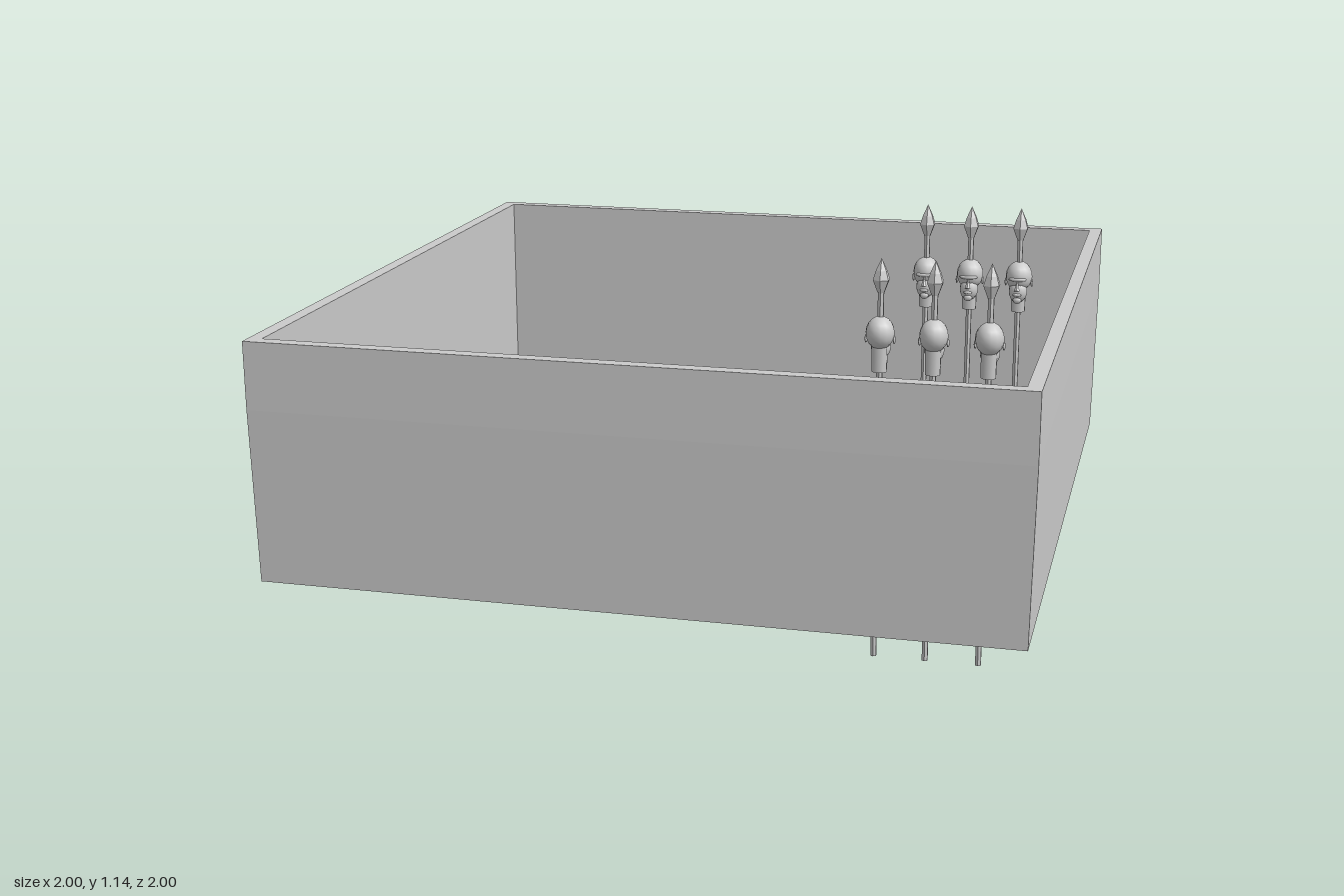
import * as THREE from 'three';

const grey = (opts = {}) => new THREE.MeshStandardMaterial({ color: 0xcccccc, ...opts });
const flat = grey({ flatShading: true });
const flatTwoSided = grey({ flatShading: true, side: THREE.DoubleSide });
const smooth = grey();

function part(parent, name, geometry, material, x = 0, y = 0, z = 0) {
  const mesh = new THREE.Mesh(geometry, material);
  mesh.name = name;
  mesh.position.set(x, y, z);
  parent.add(mesh);
  return mesh;
}

// Square walls: a four-sided lathe, half widths given as [half, y]
function wallsGeometry() {
  const profile = [[0.993, 0.335], [1, 0.8], [1, 0.98], [0.963, 0.98], [0.963, 0.335]];
  return new THREE.LatheGeometry(
    profile.map(([half, y]) => new THREE.Vector2(half * Math.SQRT2, y)), 4, Math.PI / 4);
}

// Thin floor with a twelve-sided opening
function floorGeometry(cx, cz, r) {
  const h = 0.993;
  const shape = new THREE.Shape([[-h, -h], [h, -h], [h, h], [-h, h]].map(p => new THREE.Vector2(...p)));
  const rim = [];
  for (let i = 0; i < 12; i++) {
    const a = -i * Math.PI / 6;
    rim.push(new THREE.Vector2(cx + r * Math.cos(a), -cz + r * Math.sin(a)));
  }
  shape.holes.push(new THREE.Path(rim));
  return new THREE.ShapeGeometry(shape).rotateX(-Math.PI / 2);
}

const ellipsoid = (rx, ry, rz, w = 14, h = 10) => new THREE.SphereGeometry(1, w, h).scale(rx, ry, rz);

// Head facing +z, origin at the middle of the skull
function makeHead() {
  const head = new THREE.Group();
  head.name = 'head';
  part(head, 'skull', ellipsoid(0.039, 0.045, 0.045), smooth, 0, 0.008, -0.002);
  part(head, 'jaw', ellipsoid(0.027, 0.034, 0.03), smooth, 0, -0.034, 0.015);
  part(head, 'chin', ellipsoid(0.013, 0.011, 0.012, 8, 6), smooth, 0, -0.057, 0.034);
  part(head, 'brow', ellipsoid(0.027, 0.007, 0.012, 10, 6), smooth, 0, 0.005, 0.034);
  part(head, 'mouth', ellipsoid(0.013, 0.005, 0.007, 8, 6), smooth, 0, -0.04, 0.042);
  part(head, 'neck', new THREE.CylinderGeometry(0.022, 0.021, 0.07, 10), smooth, 0, -0.063, -0.004);
  const nose = part(head, 'nose', new THREE.ConeGeometry(0.009, 0.032, 5), flat, 0, -0.012, 0.044);
  nose.rotation.x = -0.3;
  for (const side of [-1, 1]) {
    part(head, 'ear', ellipsoid(0.004, 0.012, 0.008, 8, 6), smooth, side * 0.038, -0.01, 0);
  }
  return head;
}

// Spear standing on y = 0 with a head pushed onto it
function makeSpear() {
  const spear = new THREE.Group();
  spear.name = 'spear';
  part(spear, 'pole', new THREE.CylinderGeometry(0.009, 0.009, 1.05, 6), flat, 0, 0.525, 0);
  const tip = [[0, 1.03], [0.01, 1.035], [0.024, 1.07], [0.016, 1.095], [0, 1.128]];
  part(spear, 'spearTip',
    new THREE.LatheGeometry(tip.map(p => new THREE.Vector2(...p)), 6), flat);
  const head = makeHead();
  head.position.y = 0.918;
  spear.add(head);
  return spear;
}

export function createModel() {
  const model = new THREE.Group();
  model.name = 'walledPit';
  const cx = 0.63, cz = -0.14, r = 0.158;

  part(model, 'walls', wallsGeometry(), flat);
  part(model, 'floor', floorGeometry(cx, cz, r), flatTwoSided, 0, 0.336, 0);

  // Open shaft hanging below the floor opening
  part(model, 'shaft',
    new THREE.CylinderGeometry(r, r, 0.08, 12, 1, true), flatTwoSided, cx, 0.296, cz);

  // Two rows of spears whose heads face each other
  const rows = [
    { xs: [0.525, 0.655, 0.8], y: 0.015, z: -0.41, turn: 0 },
    { xs: [0.508, 0.652, 0.8], y: 0, z: 0.31, turn: Math.PI },
  ];
  for (const row of rows) {
    for (const x of row.xs) {
      const spear = makeSpear();
      spear.position.set(x, row.y, row.z);
      spear.rotation.y = row.turn;
      model.add(spear);
    }
  }
  return model;
}
